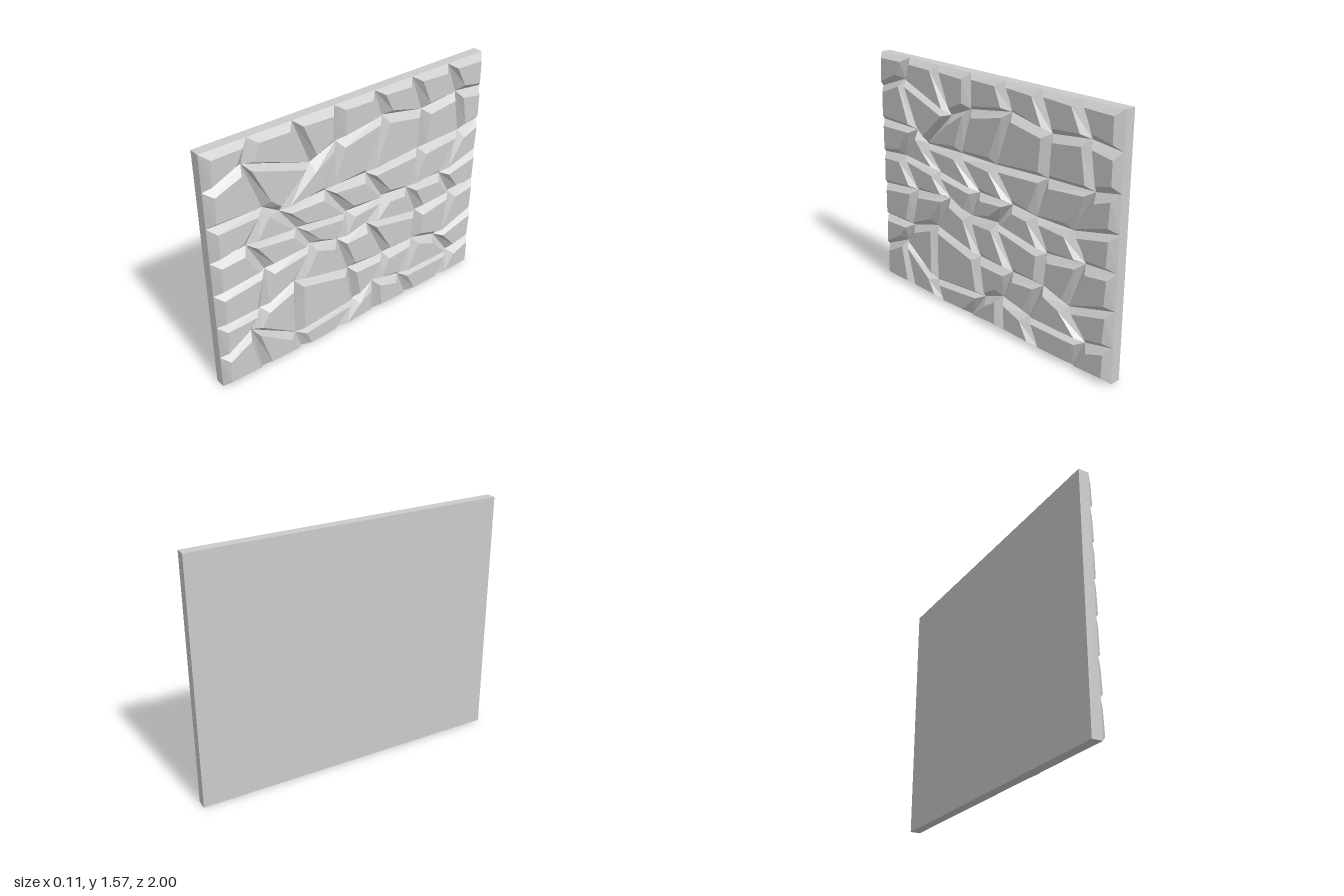
import * as THREE from 'three';

const HEIGHT = 1.57, N = 7;             // panel is 2 wide (z), 7 x 7 stones
const BACK = -0.055, WALL = 0.01, FACE = 0.055; // x of back, slab face, stone face
const BEVEL = 0.056;                    // how far each corner moves to the stone's centre

// Inner joints of the stones as [z, y], row by row from the bottom
const JOINTS = [
  [[.78, .32], [.47, .13], [.02, .17], [-.14, .23], [-.36, .18], [-.80, .18]],
  [[.71, .45], [.46, .52], [.06, .43], [-.22, .42], [-.47, .42], [-.67, .36]],
  [[.66, .71], [.34, .74], [.14, .68], [-.09, .70], [-.49, .63], [-.78, .66]],
  [[.77, .92], [.43, .89], [.07, .85], [-.21, .85], [-.41, .83], [-.69, .83]],
  [[.65, 1.12], [.54, 1.05], [.22, 1.06], [-.08, 1.06], [-.49, 1.08], [-.83, 1.09]],
  [[.76, 1.43], [.32, 1.28], [.14, 1.35], [-.20, 1.40], [-.51, 1.34], [-.79, 1.37]],
];

// Joint of a column and row; the rim is evenly spaced
function joint(col, row) {
  const rim = col === 0 || col === N || row === 0 || row === N;
  const [z, y] = rim ? [1 - 2 * col / N, HEIGHT * row / N] : JOINTS[row - 1][col - 1];
  return new THREE.Vector3(WALL, y, z);
}

// Bevelled stone: four slopes rising from the joints to a flat face
function stoneGeometry(col, row) {
  const base = [joint(col, row), joint(col + 1, row), joint(col + 1, row + 1), joint(col, row + 1)];
  const centre = new THREE.Vector3();
  base.forEach(p => centre.addScaledVector(p, 0.25));
  const top = base.map(p => {
    const q = p.clone().addScaledVector(centre.clone().sub(p).normalize(), BEVEL);
    return q.setX(FACE);
  });
  const points = [];
  const quad = (a, b, c, d) => points.push(a, b, c, a, c, d);
  quad(...top);
  for (let i = 0; i < 4; i++) {
    const j = (i + 1) % 4;
    quad(base[i], base[j], top[j], top[i]);
  }
  const geometry = new THREE.BufferGeometry().setFromPoints(points);
  geometry.computeVertexNormals();
  return geometry;
}

export function createModel() {
  const model = new THREE.Group();
  model.name = 'stoneWallPanel';
  const material = new THREE.MeshStandardMaterial({ color: 0xcccccc, flatShading: true });

  // Flat backing slab
  const slab = new THREE.Mesh(new THREE.BoxGeometry(WALL - BACK, HEIGHT, 2), material);
  slab.name = 'backingSlab';
  slab.position.set((WALL + BACK) / 2, HEIGHT / 2, 0);
  model.add(slab);

  // Irregular stones covering the +x side
  const stones = new THREE.Group();
  stones.name = 'stones';
  for (let row = 0; row < N; row++) {
    for (let col = 0; col < N; col++) {
      const stone = new THREE.Mesh(stoneGeometry(col, row), material);
      stone.name = `stoneRow${row + 1}Column${col + 1}`;
      stones.add(stone);
    }
  }
  model.add(stones);
  return model;
}
